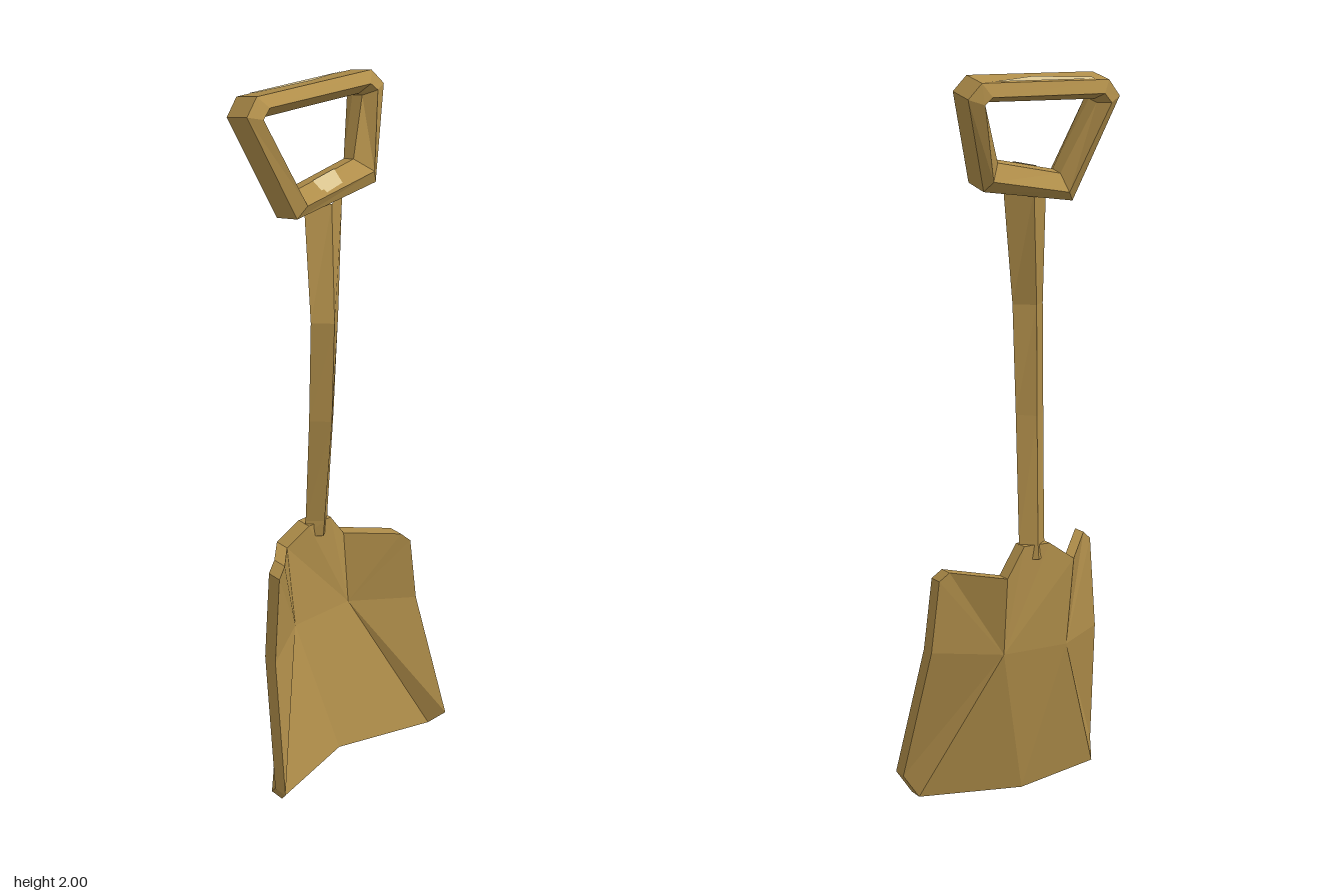
import * as THREE from 'three';

const wood = new THREE.MeshStandardMaterial({ color: 0xb08e4a });
wood.name = 'golden brown';
const pale = new THREE.MeshStandardMaterial({ color: 0xd9c48f, side: THREE.DoubleSide });
pale.name = 'pale worn';

// Faceted mesh from a list of triangle corners
function facetMesh(name, corners, material) {
  const g = new THREE.BufferGeometry();
  g.setAttribute('position', new THREE.Float32BufferAttribute(corners.flat(), 3));
  g.computeVertexNormals();
  const m = new THREE.Mesh(g, material);
  m.name = name;
  return m;
}

// Joins rings of equal length with quads
function skin(rings, closed) {
  const out = [];
  const last = closed ? rings.length : rings.length - 1;
  for (let k = 0; k < last; k++) {
    const A = rings[k], B = rings[(k + 1) % rings.length];
    for (let i = 0; i < A.length; i++) {
      const j = (i + 1) % A.length;
      out.push(A[i], A[j], B[j], A[i], B[j], B[i]);
    }
  }
  return out;
}

// Folded scoop: front sheet, back sheet and rim
function makeBlade() {
  const thick = 0.045;
  const front = [
    [0, 0, 0.04], [0.285, 0, 0.12], [0.31, 0.05, 0.167], [0.265, 0.43, 0.075],
    [0.24, 0.63, 0.073], [0.215, 0.655, 0.06], [0.1, 0.65, -0.058], [0.04, 0.73, -0.045],
    [-0.04, 0.73, -0.045], [-0.11, 0.68, -0.058], [-0.215, 0.715, 0.06], [-0.245, 0.69, 0.073],
    [-0.265, 0.43, 0.075], [-0.31, 0.05, 0.167], [-0.285, 0, 0.12],
    [0.1, 0.43, -0.037], [-0.1, 0.43, -0.037],
  ];
  const back = front.map(([x, y, z]) => [x, y, z - thick]);
  const faces = [[0, 15, 16]];
  for (let i = 0; i < 9; i++) faces.push([i, i + 1, 15]);
  faces.push([15, 9, 16]);
  for (let i = 9; i < 15; i++) faces.push([i, (i + 1) % 15, 16]);
  const out = [];
  for (const [a, b, c] of faces) {
    out.push(front[a], front[b], front[c], back[a], back[c], back[b]);
  }
  out.push(...skin([back.slice(0, 15), front.slice(0, 15)], false));
  return facetMesh('blade', out, wood);
}

// Four-sided bent shaft: [y, left x, front x, right x, back z, front z]
function makeShaft() {
  const sections = [
    [0.69, -0.045, 0, 0.045, -0.1, -0.03],
    [0.74, -0.04, 0, 0.04, -0.095, -0.025],
    [1.08, -0.065, -0.02, 0.022, -0.055, 0.03],
    [1.38, -0.075, -0.03, 0.02, -0.035, 0.052],
    [1.69, -0.055, 0.005, 0.075, -0.08, 0],
  ];
  const rings = sections.map(([y, l, f, r, zb, zf]) => {
    const mid = (zb + zf) / 2;
    return [[f, y, zf], [r, y, mid], [f, y, zb], [l, y, mid]];
  });
  return facetMesh('shaft', skin(rings, false), wood);
}

// Tilted ring grip whose bars are widest part-way in
function makeGrip() {
  const grip = new THREE.Group();
  grip.name = 'grip';
  const outer = [[-0.18, 0.172], [0.2, 0.167], [0.235, 0.125], [0.16, -0.12], [-0.115, -0.155], [-0.22, 0.128]];
  const wide = [[-0.16, 0.14], [0.175, 0.135], [0.195, 0.115], [0.145, -0.088], [-0.09, -0.125], [-0.185, 0.115]];
  const hole = [[-0.155, 0.115], [0.165, 0.112], [0.175, 0.105], [0.115, -0.05], [-0.08, -0.085], [-0.165, 0.105]];
  const at = (loop, w) => loop.map(([x, v]) => [x, v, w]).reverse();
  const rings = [at(outer, 0.042), at(wide, 0.062), at(hole, 0.02),
    at(hole, -0.02), at(wide, -0.062), at(outer, -0.042)];
  grip.add(facetMesh('gripRing', skin(rings, true), wood));

  // Worn patches on the top bar and on the lower bar's inner slope
  const quad = (a, b, c, d) => [a, b, c, a, c, d];
  grip.add(facetMesh('topWear', quad(
    [-0.14, 0.1735, -0.015], [0.03, 0.1715, 0.003], [0.17, 0.1695, -0.038], [-0.14, 0.1735, -0.038]), pale));
  grip.add(facetMesh('innerWear', quad(
    [-0.025, -0.113, 0.06], [0.04, -0.103, 0.06], [0.045, -0.06, 0.021], [-0.03, -0.074, 0.021]), pale));

  grip.position.set(0, 1.82, -0.072);
  grip.rotation.x = -0.23;
  return grip;
}

export function createModel() {
  const model = new THREE.Group();
  model.name = 'shovel';
  model.add(makeBlade(), makeShaft(), makeGrip());
  return model;
}
